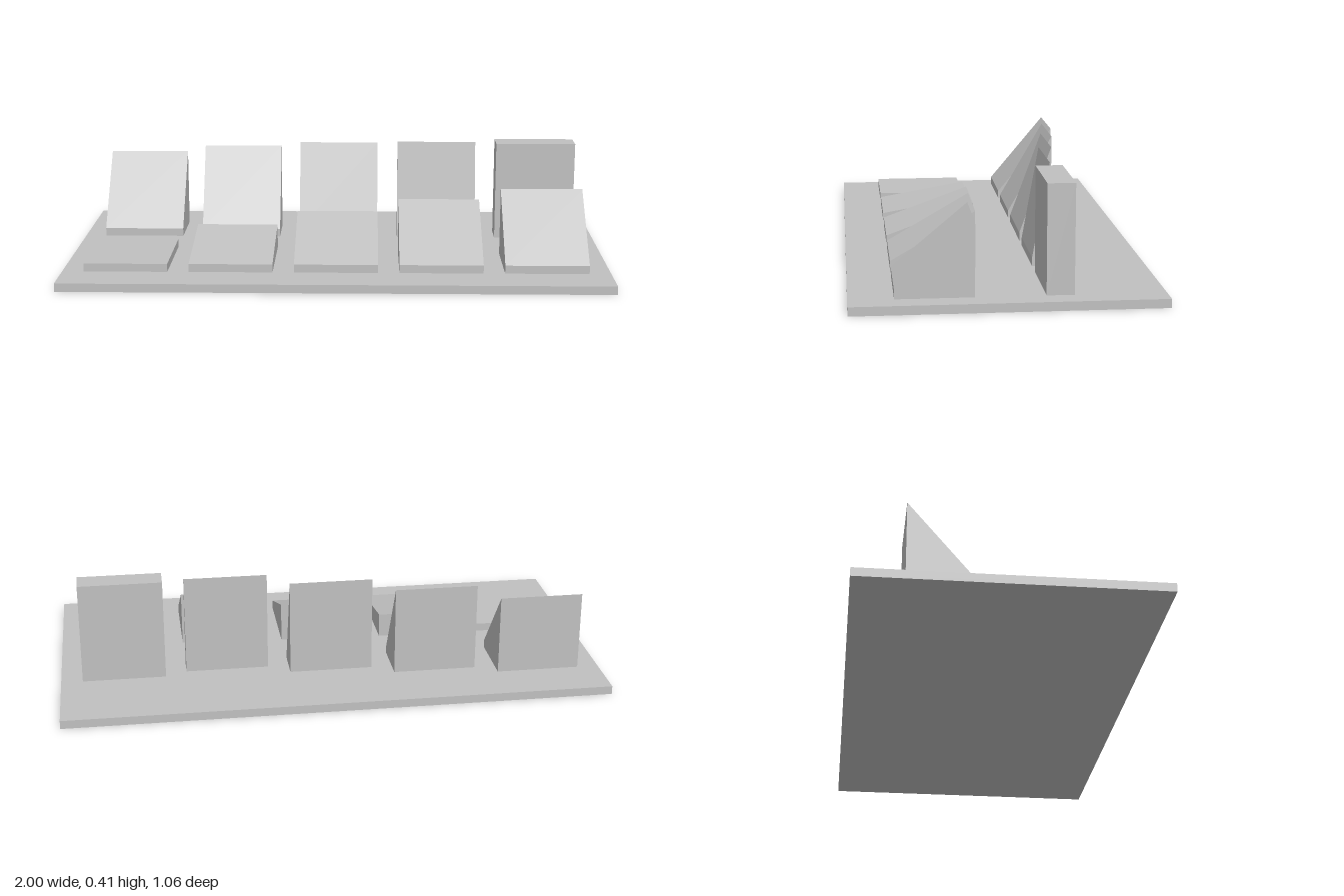
import * as THREE from 'three';

const BASE_TOP = 0.031; // thickness of the base plate
const LIP = 0.03;       // low front edge of every ramp
const WIDTH = 0.306;
const SLOPE = 0.347;    // length of every sloped face
const PITCH = 0.384;    // spacing along x

// Ramp with its sloped face towards +z, its front lip at z = 0
function rampGeometry(degrees) {
  const a = THREE.MathUtils.degToRad(degrees);
  const run = SLOPE * Math.cos(a);
  const top = LIP + SLOPE * Math.sin(a);
  const side = new THREE.Shape();
  side.moveTo(0, 0);
  side.lineTo(0, LIP);
  side.lineTo(-run, top);
  side.lineTo(-run, 0);
  side.closePath();
  const geometry = new THREE.ExtrudeGeometry(side, { depth: WIDTH, bevelEnabled: false });
  geometry.translate(0, 0, -WIDTH / 2);
  geometry.rotateY(-Math.PI / 2); // profile x becomes z
  return geometry;
}

export function createModel() {
  const model = new THREE.Group();
  model.name = 'slopeSampleBoard';
  const grey = new THREE.MeshStandardMaterial({ color: 0xc0c0c0 });
  grey.name = 'plainGrey';

  const add = (name, geometry, x, y, z) => {
    const mesh = new THREE.Mesh(geometry, grey);
    mesh.name = name;
    mesh.position.set(x, y, z);
    model.add(mesh);
  };

  // Base plate
  add('basePlate', new THREE.BoxGeometry(2, BASE_TOP, 1.058), 0, BASE_TOP / 2, 0);

  // Front row 0 to 40 degrees, back row 50 to 80 degrees
  for (let i = 0; i < 9; i++) {
    const x = (i % 5 - 2) * PITCH;
    add(`ramp${i * 10}Degrees`, rampGeometry(i * 10), x, BASE_TOP, i < 5 ? 0.376 : -0.126);
  }

  // Upright block for the vertical sample
  const height = LIP + SLOPE, depth = 0.094;
  add('uprightBlock', new THREE.BoxGeometry(WIDTH, height, depth),
    2 * PITCH, BASE_TOP + height / 2, -0.126 - depth / 2);

  return model;
}
